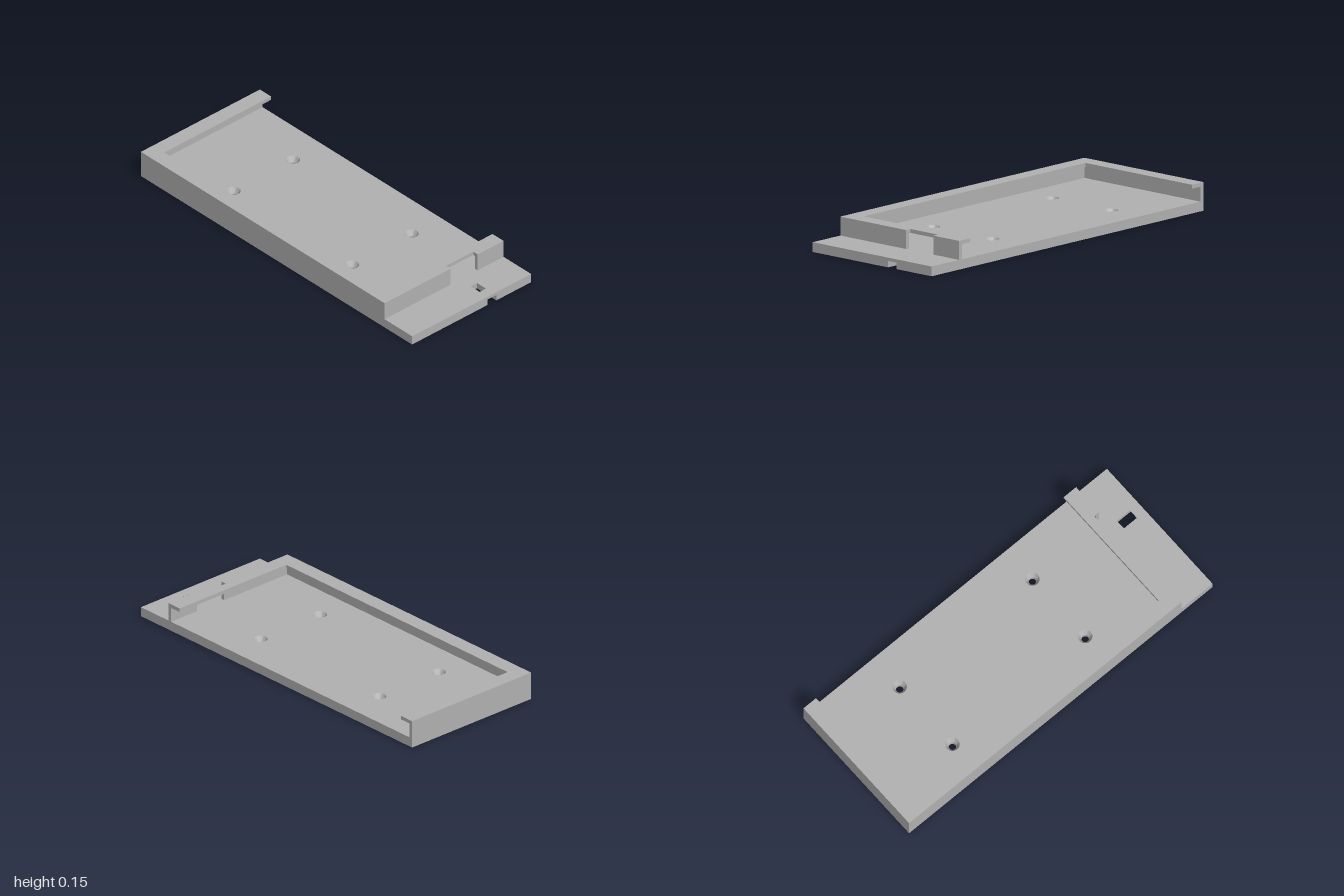
import * as THREE from 'three';
import { toCreasedNormals } from 'three/addons/utils/BufferGeometryUtils.js';

const X = 1, Z = 0.403;            // half length and half depth of the plate
const WALL = 0.797, T = 0.02;      // outer face of the left wall, wall thickness
const SLOT_Y = 0.033, FLOOR = 0.05, LIP_Y = 0.127, TOP = 0.147;
const HOLE_R = 0.036, BORE_R = 0.019;
const NOTCH = [-0.228, -0.044];    // z range of the cut in the left wall
const SLOT = [-0.167, -0.108];     // z range of the strap slot

export function createModel() {
  const group = new THREE.Group();
  const grey = new THREE.MeshStandardMaterial({ color: 0xb2b2b2 });
  grey.name = 'grey plastic';

  const add = (name, geometry) => {
    const mesh = new THREE.Mesh(geometry, grey);
    mesh.name = name;
    group.add(mesh);
    return mesh;
  };
  // Horizontal layer: outline given as [x, z], raised from y0 to y1
  const outline = (pts) => pts.map(([x, z]) => new THREE.Vector2(x, -z));
  const layer = (name, pts, y0, y1, holes = []) => {
    const shape = new THREE.Shape(outline(pts));
    shape.holes.push(...holes);
    const geo = new THREE.ExtrudeGeometry(shape, { depth: y1 - y0, bevelEnabled: false, curveSegments: 16 });
    geo.rotateX(-Math.PI / 2);
    geo.translate(0, y0, 0);
    return add(name, geo);
  };
  const rect = (x0, x1, z0, z1) => [[x0, z0], [x1, z0], [x1, z1], [x0, z1]];

  // Screw positions
  const screws = [];
  for (const x of [-0.539, 0.336]) for (const z of [-0.203, 0.2]) screws.push([x, z]);
  const screwHoles = () => screws.map(([x, z]) =>
    new THREE.Path().absarc(x, -z, HOLE_R, 0, Math.PI * 2, true));

  // Base plate: lower layer has the open slot, upper layer the window above it
  layer('basePlateLower', [
    [-X, -Z], [X, -Z], [X, SLOT[0]], [0.857, SLOT[0]], [0.857, SLOT[1]], [X, SLOT[1]], [X, Z], [-X, Z],
  ], 0, SLOT_Y, screwHoles());
  layer('basePlateUpper', rect(-X, X, -Z, Z), SLOT_Y, FLOOR,
    [...screwHoles(), new THREE.Path(outline(rect(0.857, 0.942, ...SLOT)))]);

  // Countersunk screw seats
  const profile = [[HOLE_R, FLOOR], [BORE_R, 0.02], [BORE_R, 0], [HOLE_R, 0]]
    .map(([r, y]) => new THREE.Vector2(r, y));
  const seat = toCreasedNormals(new THREE.LatheGeometry(profile, 32), 0.5);
  for (const [x, z] of screws) add('screwSeat', seat).position.set(x, 0, z);

  // Thin wall on three sides, open at the back and cut through on the left
  layer('wall', [
    [-X, -Z], [-X + T, -Z], [-X + T, Z - T], [WALL - T, Z - T],
    [WALL - T, NOTCH[1]], [WALL, NOTCH[1]], [WALL, Z], [-X, Z],
  ], FLOOR, LIP_Y);
  layer('wallEnd', rect(WALL - T, WALL, -Z, NOTCH[0]), FLOOR, LIP_Y);

  // Overhanging lip, notched above the cut
  layer('lip', [
    [-X, -Z], [-0.917, -Z], [-0.917, 0.32], [0.715, 0.32], [0.715, -Z], [WALL, -Z],
    [WALL, NOTCH[0]], [0.764, NOTCH[0]], [0.764, NOTCH[1]], [WALL, NOTCH[1]], [WALL, Z], [-X, Z],
  ], LIP_Y, TOP);

  return group;
}
